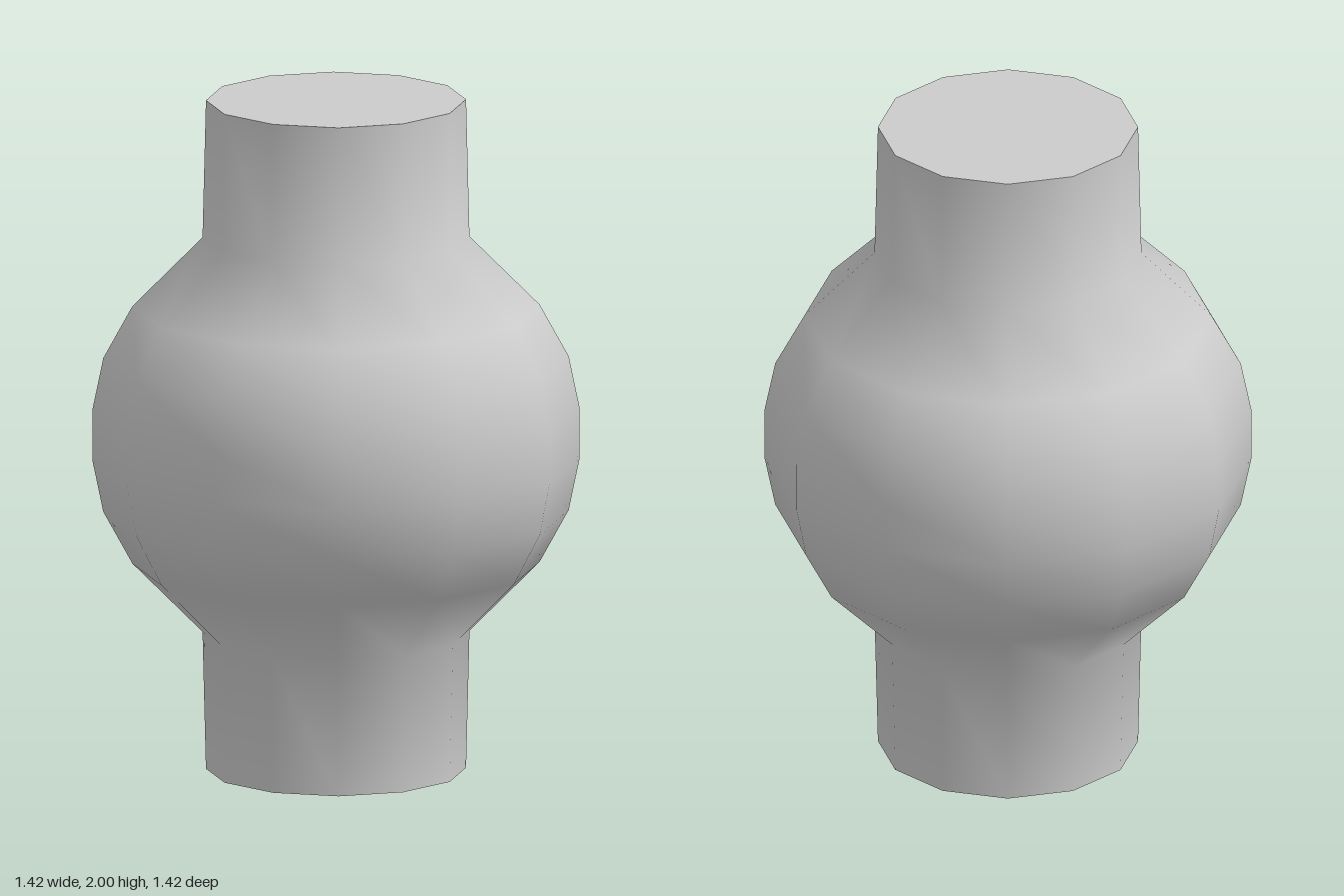
import * as THREE from 'three';

const SIDES = 12;
const NECK = 0.38;

export function createModel() {
  const group = new THREE.Group();
  const material = new THREE.MeshStandardMaterial({ color: 0xcccccc, side: THREE.DoubleSide });

  // Lower half of the outline [radius, y], mirrored about y = 1
  const lower = [[NECK, 0], [0.39, 0.41], [0.595, 0.615], [0.68, 0.77], [0.712, 0.925]];
  const upper = lower.map(([r, y]) => [r, 2 - y]).reverse();
  const profile = [...lower, ...upper].map(([r, y]) => new THREE.Vector2(r, y));

  // Bulging body with straight necks, open underneath
  const body = new THREE.Mesh(new THREE.LatheGeometry(profile, SIDES), material);
  body.name = 'body';
  group.add(body);

  // Flat lid closing the upper neck
  const lid = new THREE.Mesh(new THREE.CircleGeometry(NECK, SIDES), material);
  lid.name = 'lid';
  lid.rotation.x = -Math.PI / 2;
  lid.position.y = 2;
  group.add(lid);

  return group;
}
